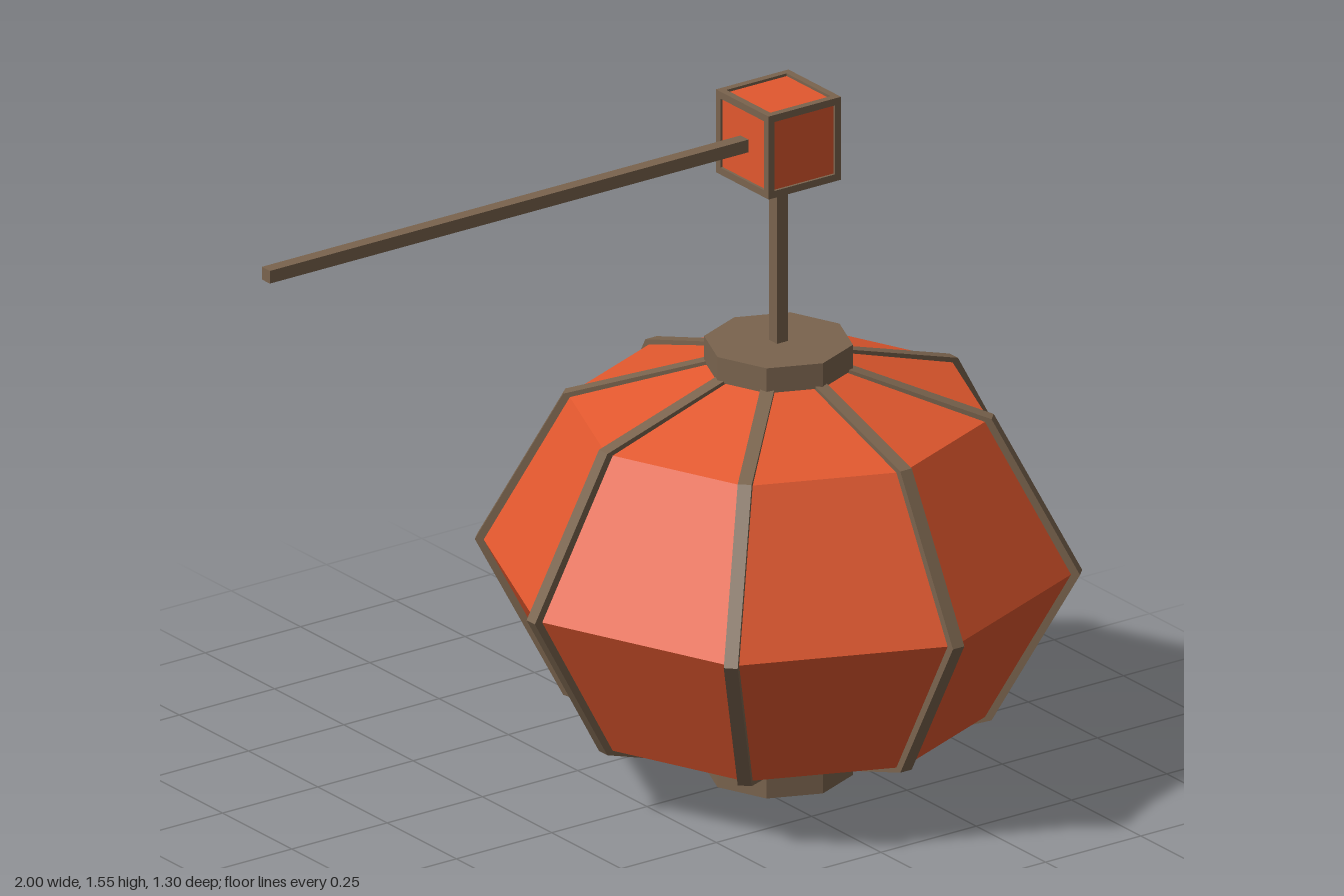
import * as THREE from 'three';

const CX = 0.345; // lantern axis
const paper = new THREE.MeshStandardMaterial({ color: 0xe2582e, flatShading: true });
const wood = new THREE.MeshStandardMaterial({ color: 0x7a644e, flatShading: true });

export function createModel() {
  const model = new THREE.Group();

  const add = (name, geometry, material, x, y, z, parent = model) => {
    const mesh = new THREE.Mesh(geometry, material);
    mesh.name = name;
    mesh.position.set(x, y, z);
    parent.add(mesh);
    return mesh;
  };

  // Eight-sided paper body
  const body = [[0, 0.05], [0.13, 0.055], [0.452, 0.157], [0.637, 0.495], [0.452, 0.833], [0.13, 0.935], [0, 0.94]];
  add('paperBody', new THREE.LatheGeometry(body.map(([r, y]) => new THREE.Vector2(r, y)), 8), paper, CX, 0, 0);

  // Bent wooden ribs along the eight corners
  const outer = [[0.11, 0.043], [0.46, 0.15], [0.65, 0.495], [0.46, 0.84], [0.11, 0.947]];
  const inner = [[0.11, 0.075], [0.44, 0.174], [0.615, 0.495], [0.44, 0.816], [0.11, 0.915]];
  const ribShape = new THREE.Shape([...outer, ...inner.reverse()].map(([r, y]) => new THREE.Vector2(r, y)));
  const ribGeometry = new THREE.ExtrudeGeometry(ribShape, { depth: 0.03, bevelEnabled: false });
  ribGeometry.translate(0, 0, -0.015);
  const ribs = new THREE.Group();
  ribs.name = 'ribs';
  ribs.position.x = CX;
  for (let i = 0; i < 8; i++) add('rib', ribGeometry, wood, 0, 0, 0, ribs).rotation.y = i * Math.PI / 4;
  model.add(ribs);

  // Octagonal end caps
  const cap = new THREE.CylinderGeometry(0.16, 0.16, 0.057, 8);
  add('bottomCap', cap, wood, CX, 0.0285, 0);
  add('topCap', cap, wood, CX, 0.957, 0);

  // Hanging rod and horizontal support arm
  add('hangingRod', new THREE.BoxGeometry(0.029, 0.42, 0.029), wood, CX, 1.175, 0);
  add('supportArm', new THREE.BoxGeometry(1.27, 0.029, 0.029), wood, -0.365, 1.457, 0);

  // Small framed cube joining the rod and arm
  const cube = new THREE.Group();
  cube.name = 'framedCube';
  cube.position.set(CX, 1.457, 0);
  add('cubePanels', new THREE.BoxGeometry(0.178, 0.178, 0.178), paper, 0, 0, 0, cube);
  const t = 0.016, size = 0.19, o = (size - t) / 2;
  for (const a of [-o, o]) {
    for (const b of [-o, o]) {
      add('frameBar', new THREE.BoxGeometry(size, t, t), wood, 0, a, b, cube);
      add('frameBar', new THREE.BoxGeometry(t, size, t), wood, a, 0, b, cube);
      add('frameBar', new THREE.BoxGeometry(t, t, size), wood, a, b, 0, cube);
    }
  }
  model.add(cube);

  return model;
}
